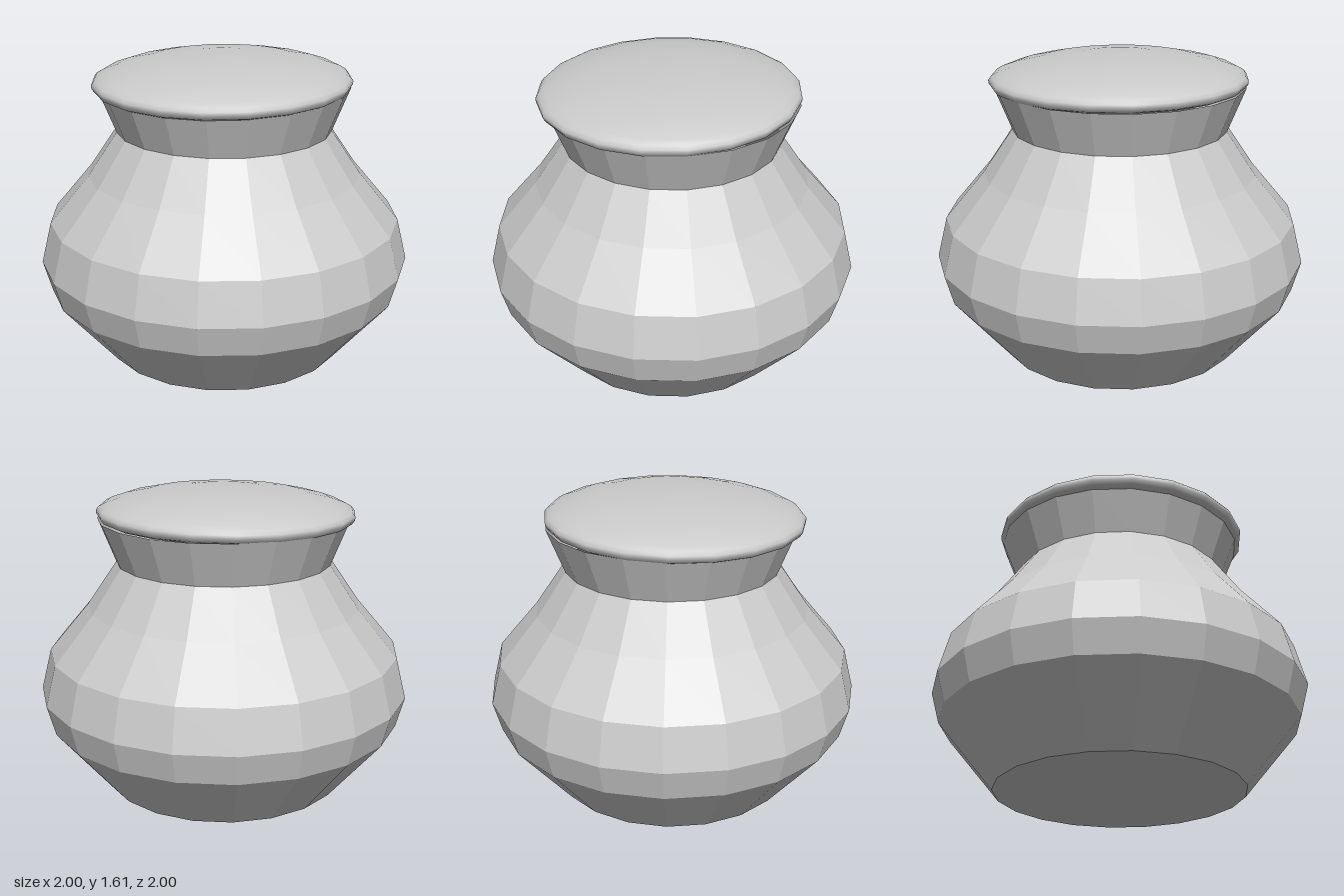
import * as THREE from 'three';

const SIDES = 20;

// Spins [radius, height] pairs, listed from bottom to top, around the y axis
function turned(name, profile, flatShading) {
  const points = profile.map(([r, y]) => new THREE.Vector2(r, y));
  const mesh = new THREE.Mesh(
    new THREE.LatheGeometry(points, SIDES),
    new THREE.MeshStandardMaterial({ color: 0xcccccc, flatShading, side: THREE.DoubleSide })
  );
  mesh.name = name;
  return mesh;
}

export function createModel() {
  const group = new THREE.Group();
  group.name = 'liddedPot';

  // Faceted pot: flat base, wide belly, pinched waist and flared neck
  group.add(turned('pot', [
    [0, 0], [0.66, 0], [0.955, 0.355], [1, 0.52], [0.945, 0.74],
    [0.735, 0.99], [0.575, 1.225], [0.668, 1.46],
  ], true));

  // Smooth domed lid, resting slightly askew; heights are relative to its underside
  const lid = turned('lid', [
    [0, 0], [0.645, 0], [0.672, 0.012], [0.685, 0.032], [0.686, 0.05], [0.672, 0.068],
    [0.64, 0.086], [0.56, 0.114], [0.42, 0.145], [0.22, 0.166], [0, 0.172],
  ], false);
  lid.position.set(-0.015, 1.443, 0);
  lid.rotation.z = 0.016;
  group.add(lid);

  return group;
}
